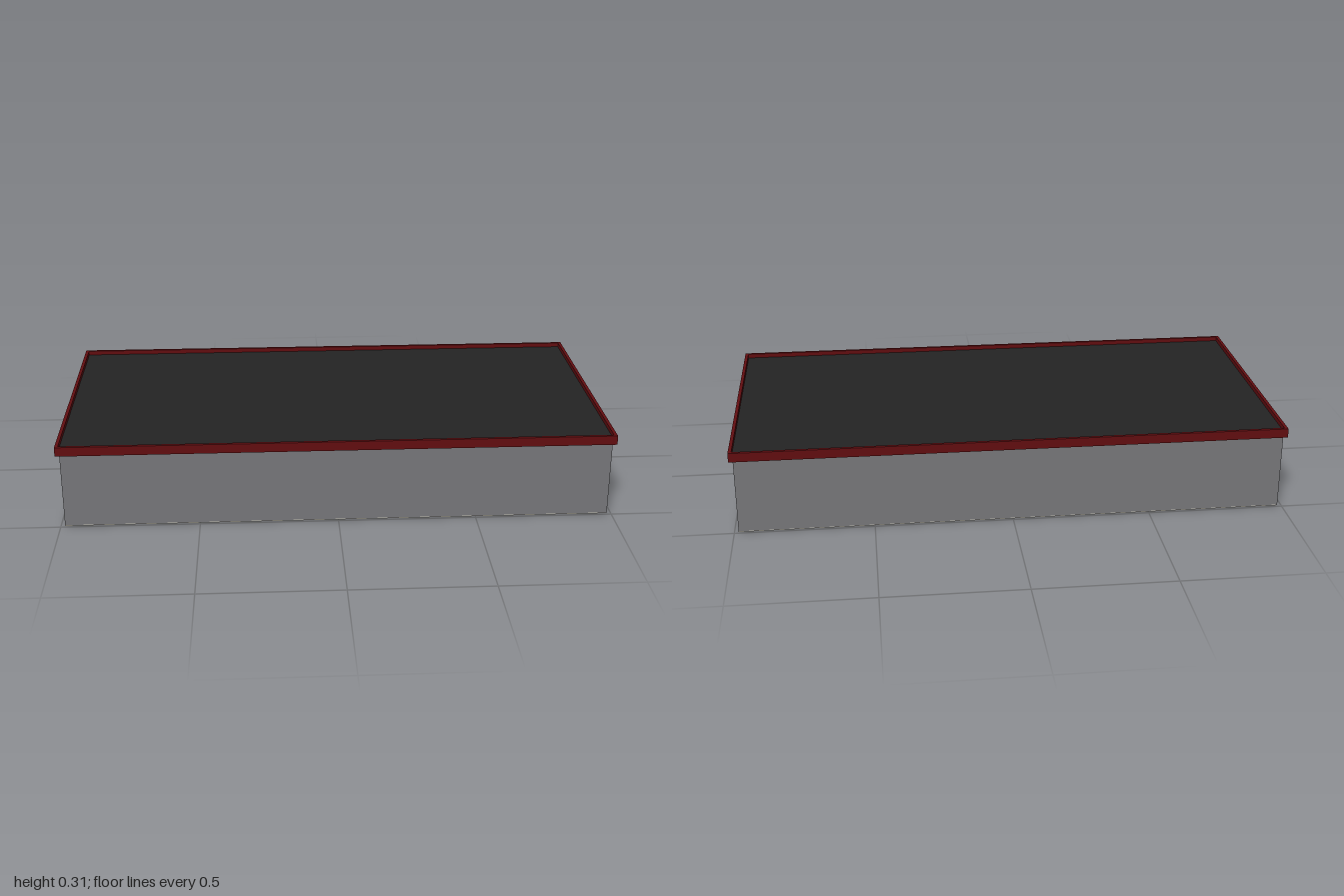
import * as THREE from 'three';

const mat = (name, color) => {
  const m = new THREE.MeshStandardMaterial({ color });
  m.name = name;
  return m;
};

export function createModel() {
  const wallGrey = mat('wallGrey', 0x77777a);
  const trimRed = mat('trimRed', 0x620d10);
  const roofBlack = mat('roofBlack', 0x232323);
  const beige = mat('beige', 0xc6c2b5);
  const panelGrey = mat('panelGrey', 0x444444);

  const root = new THREE.Group();
  root.name = 'building';

  const add = (parent, name, geometry, material, x = 0, y = 0, z = 0) => {
    const mesh = new THREE.Mesh(geometry, material);
    mesh.name = name;
    mesh.position.set(x, y, z);
    parent.add(mesh);
    return mesh;
  };
  // box given by its min and max corners
  const block = (parent, name, material, [x0, y0, z0], [x1, y1, z1]) =>
    add(parent, name, new THREE.BoxGeometry(x1 - x0, y1 - y0, z1 - z0), material,
      (x0 + x1) / 2, (y0 + y1) / 2, (z0 + z1) / 2);

  const W = 0.985, D = 0.493, T = 0.03, BASE = 0.004, EAVE = 0.285, DOOR_TOP = 0.247;

  // long walls
  for (const s of [-1, 1]) {
    add(root, s > 0 ? 'frontWall' : 'backWall',
      new THREE.BoxGeometry(2 * (W - T), EAVE - BASE, T), wallGrey,
      0, (EAVE + BASE) / 2, s * (D - T / 2));
  }

  // end walls with a recessed door; local x runs along the wall, local z outwards
  const endWall = (side, angle, d0, d1, handleX) => {
    const end = new THREE.Group();
    end.name = side + 'End';
    end.rotation.y = angle;
    root.add(end);
    const outline = new THREE.Shape([
      [-D, BASE], [d0, BASE], [d0, DOOR_TOP], [d1, DOOR_TOP],
      [d1, BASE], [D, BASE], [D, EAVE], [-D, EAVE],
    ].map(([x, y]) => new THREE.Vector2(x, y)));
    add(end, side + 'Wall', new THREE.ExtrudeGeometry(outline, { depth: T, bevelEnabled: false }),
      wallGrey, 0, 0, W - T);
    const face = W - 0.02;
    block(end, side + 'Door', beige, [d0, BASE, face - 0.01], [d1, DOOR_TOP, face]);
    block(end, side + 'DoorHandle', roofBlack,
      [handleX - 0.008, 0.121, face], [handleX + 0.008, 0.125, face + 0.008]);
  };
  endWall('left', Math.PI / 2, -0.12, 0.05, 0.035);
  endWall('right', -Math.PI / 2, 0.246, 0.412, 0.264);

  // floor slab
  block(root, 'floor', beige, [-W, 0.001, -D], [W, BASE, D]);

  // thin panels set in the underside: x0, x1, z0, z1
  const panels = [
    [0.75, 0.92, -0.24, -0.13],
    [0.54, 0.71, 0.186, 0.29],
    [0.42, 0.54, 0.186, 0.245],
    [-0.195, 0, 0.15, 0.247],
    [-0.44, -0.24, 0.147, 0.248],
    [-0.445, -0.245, -0.236, -0.14],
    [-0.68, -0.49, -0.23, -0.13],
  ];
  for (const [x0, x1, z0, z1] of panels) {
    block(root, 'floorPanel', panelGrey, [x0, 0, z0], [x1, 0.002, z1]);
  }

  // red roof band: a rectangular ring
  const rect = (Type, x, z) => new Type([[-x, -z], [x, -z], [x, z], [-x, z]]
    .map(([a, b]) => new THREE.Vector2(a, b)));
  const ring = rect(THREE.Shape, 1, 0.5);
  ring.holes.push(rect(THREE.Path, 0.988, 0.488));
  const band = new THREE.ExtrudeGeometry(ring, { depth: 0.034, bevelEnabled: false });
  band.rotateX(-Math.PI / 2);
  add(root, 'roofBand', band, trimRed, 0, 0.278, 0);

  // sunken roof deck
  block(root, 'roofDeck', roofBlack, [-0.988, 0.28, -0.488], [0.988, 0.296, 0.488]);

  return root;
}
